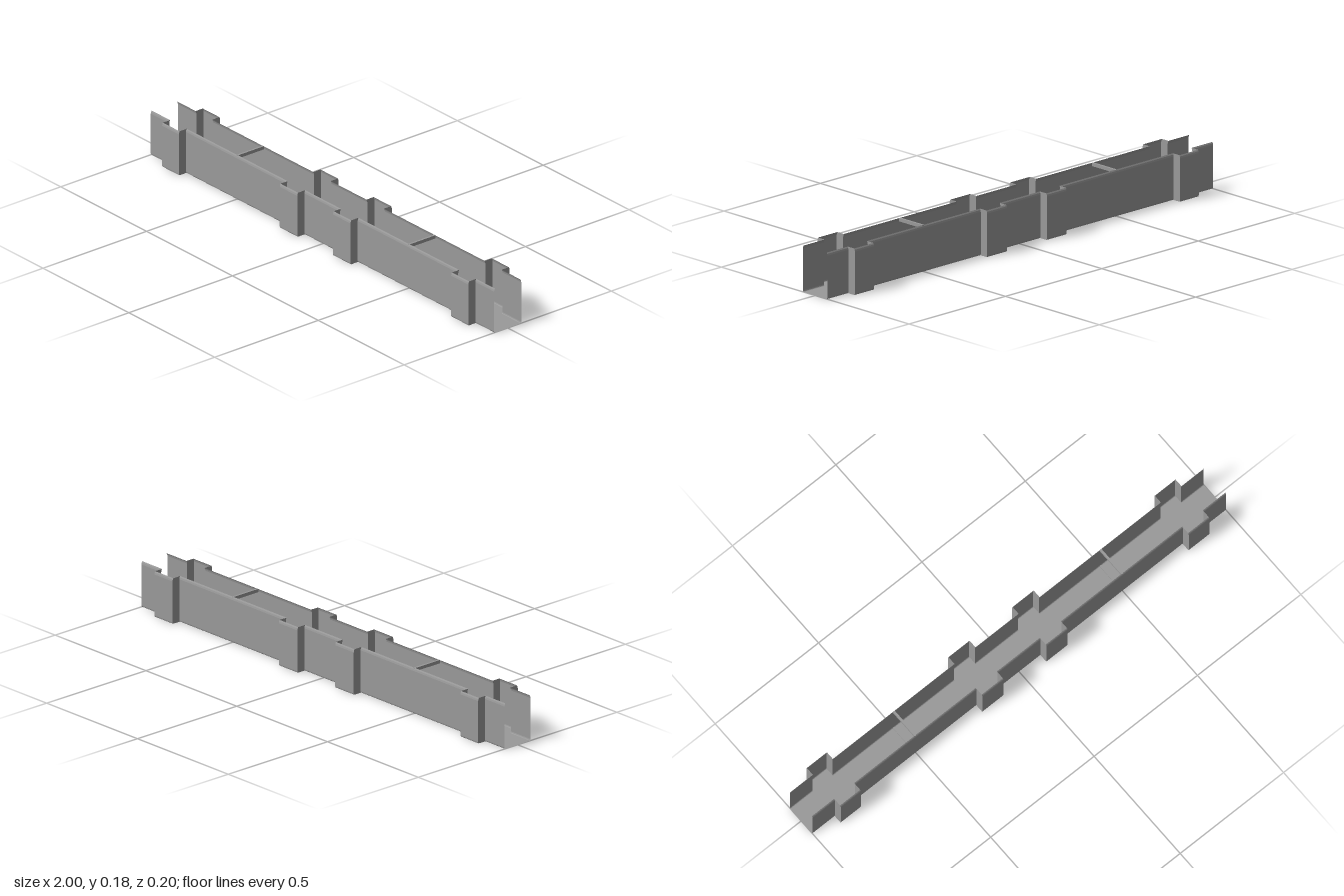
import * as THREE from 'three';

const HALF_WIDTH = 0.0655, BAY_WIDTH = 0.1, HEIGHT = 0.181;
const BAYS = [[-0.892, -0.795], [-0.207, -0.105], [0.103, 0.205], [0.791, 0.891]];
// Wall section: height and inward slant, with softly rolled edges
const SECTION = [[0, 0.003], [0.002, 0.001], [0.006, 0], [0.169, 0], [0.176, 0.0015], [HEIGHT, 0.004]];

// Plan of one side wall as [x, z], stepping out at every bay
function wallPath() {
  const path = [[-1, HALF_WIDTH]];
  for (const [a, b] of BAYS) {
    path.push([a, HALF_WIDTH], [a, BAY_WIDTH], [b, BAY_WIDTH], [b, HALF_WIDTH]);
  }
  path.push([1, HALF_WIDTH]);
  return path;
}

// Folded sheet wall, side = 1 for the front and -1 for the back
function wallGeometry(path, side) {
  const pos = [];
  const corner = ([x, z], [y, inset]) => [x, y, side * (z - inset)];
  for (let i = 0; i < path.length - 1; i++) {
    for (let j = 0; j < SECTION.length - 1; j++) {
      const a = corner(path[i], SECTION[j]), b = corner(path[i + 1], SECTION[j]);
      const c = corner(path[i + 1], SECTION[j + 1]), d = corner(path[i], SECTION[j + 1]);
      const quad = side > 0 ? [a, b, c, a, c, d] : [a, c, b, a, d, c];
      pos.push(...quad.flat());
    }
  }
  const geo = new THREE.BufferGeometry();
  geo.setAttribute('position', new THREE.Float32BufferAttribute(pos, 3));
  geo.computeVertexNormals();
  return geo;
}

export function createModel() {
  const group = new THREE.Group();
  group.name = 'channel';
  const material = new THREE.MeshStandardMaterial({
    color: 0x9a9a9a, flatShading: true, side: THREE.DoubleSide,
  });
  const add = (name, geo, x = 0, y = 0, z = 0) => {
    const mesh = new THREE.Mesh(geo, material);
    mesh.name = name;
    mesh.position.set(x, y, z);
    group.add(mesh);
    return mesh;
  };
  const path = wallPath();

  // Side walls
  add('frontWall', wallGeometry(path, 1));
  add('backWall', wallGeometry(path, -1));

  // Floor following the outline of both walls
  const inset = SECTION[0][1];
  const outline = [
    ...path.map(([x, z]) => new THREE.Vector2(x, z - inset)),
    ...[...path].reverse().map(([x, z]) => new THREE.Vector2(x, inset - z)),
  ];
  const floor = add('floor', new THREE.ShapeGeometry(new THREE.Shape(outline)));
  floor.rotation.x = Math.PI / 2;

  // Cross bars at the rim and low ribs on the floor
  for (const x of [-0.5, 0.5]) {
    add('crossBar', new THREE.BoxGeometry(0.008, 0.013, 2 * HALF_WIDTH - 0.005), x, HEIGHT - 0.0065, 0);
    add('floorRib', new THREE.BoxGeometry(0.008, 0.005, 2 * HALF_WIDTH - 0.004), x, 0.0026, 0);
  }
  return group;
}
